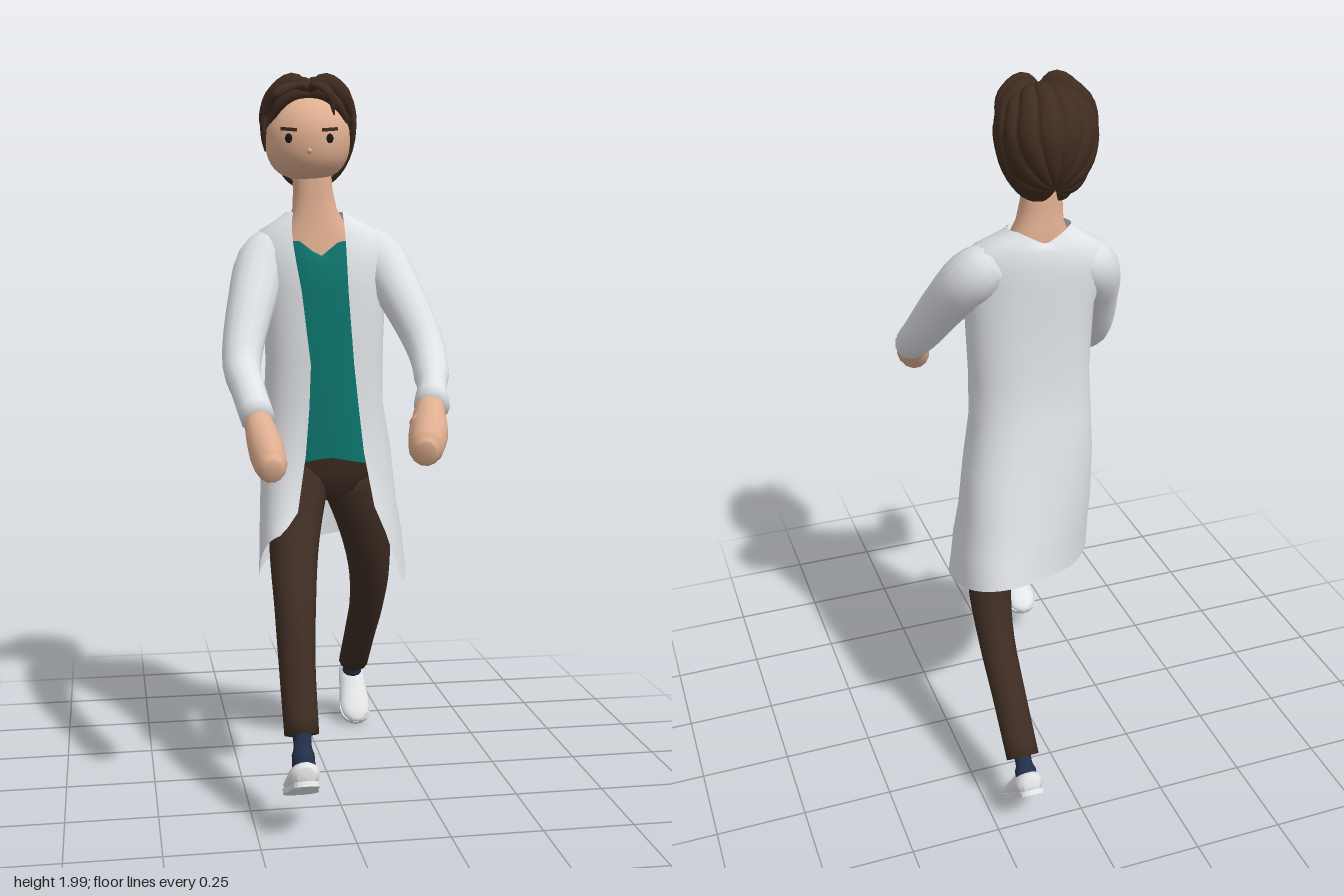
import * as THREE from 'three';

const flat = (name, color) => {
  const m = new THREE.MeshStandardMaterial({ color, side: THREE.DoubleSide });
  m.name = name;
  return m;
};

// Surface from a rule f(u, v, row) -> Vector3; wrap closes it in the first direction
function grid(nu, nv, wrap, f) {
  const pos = [], idx = [], cols = wrap ? nu : nu + 1;
  for (let j = 0; j <= nv; j++)
    for (let i = 0; i < cols; i++) pos.push(...f(i / nu, j / nv, j).toArray());
  for (let j = 0; j < nv; j++)
    for (let i = 0; i < nu; i++) {
      const a = j * cols + i, b = j * cols + ((i + 1) % cols);
      idx.push(a, b, a + cols, b, b + cols, a + cols);
    }
  const g = new THREE.BufferGeometry();
  g.setAttribute('position', new THREE.Float32BufferAttribute(pos, 3));
  g.setIndex(idx);
  g.computeVertexNormals();
  return g;
}

// Tapered limb through [x, y, z, radius, second radius] points, capped at both ends
function limb(pts, ref = new THREE.Vector3(1, 0, 0), sides = 14, steps = 18) {
  const path = new THREE.CatmullRomCurve3(pts.map(p => new THREE.Vector3(p[0], p[1], p[2])));
  const size = new THREE.CatmullRomCurve3(pts.map(p => new THREE.Vector3(p[3], p[4] ?? p[3], 0)));
  return grid(sides, steps + 2, true, (u, v, j) => {
    const s = THREE.MathUtils.clamp((j - 1) / steps, 0, 1);
    const t = path.getTangent(s), r = size.getPoint(s);
    if (j === 0 || j === steps + 2) r.set(0, 0, 0);
    const side = ref.clone().addScaledVector(t, -t.dot(ref)).normalize();
    const up = t.clone().cross(side);
    const a = u * Math.PI * 2;
    return path.getPoint(s).addScaledVector(side, Math.cos(a) * r.x).addScaledVector(up, Math.sin(a) * r.y);
  });
}

// Body rings, bottom to top: [y, centreX, halfWidth, zFront, zBack, openRight, openLeft, skew]
function body(rings, open, bend) {
  const P = 0.85, pw = (v, p) => Math.sign(v) * Math.abs(v) ** p;
  return grid(44, rings.length - 1, !open, (u, v, j) => {
    const [y, cx, a, zf, zb, oR = 0, oL = 0, skew = 0] = rings[j];
    const edge = x => Math.asin(THREE.MathUtils.clamp(pw((x - cx) / a, 1 / P), -1, 1));
    const th = open ? THREE.MathUtils.lerp(edge(oL), Math.PI * 2 + edge(oR), u) : u * Math.PI * 2;
    const x = a * pw(Math.sin(th), P);
    const z = (zf + zb) / 2 + (zf - zb) / 2 * pw(Math.cos(th), P) + skew * x;
    const p = new THREE.Vector3(cx + x, y, z);
    if (bend) bend(p, j);
    return p;
  });
}

export function createModel() {
  const root = new THREE.Group();
  root.name = 'walkingMan';
  const coat = flat('coatWhite', 0xdfe2e6), teal = flat('shirtTeal', 0x0e736c),
    brown = flat('trouserBrown', 0x3d2c22), hairMat = flat('hairBrown', 0x402c20),
    skin = flat('skin', 0xdfae90), navy = flat('sockNavy', 0x22304a),
    white = flat('shoeWhite', 0xe9ebed), dark = flat('eyeDark', 0x1d1613);
  const add = (name, geo, mat, parent = root) => {
    const m = new THREE.Mesh(geo, mat);
    m.name = name;
    parent.add(m);
    return m;
  };

  // Open coat with a swinging, slanted hem, twisted shoulders and a dipped back neckline
  add('coat', body([
    [0.57, 0.025, 0.225, 0.20, -0.262, -0.16, 0.205, -0.45],
    [0.70, 0.02, 0.215, 0.165, -0.252, -0.135, 0.155, -0.38],
    [0.80, 0.015, 0.203, 0.115, -0.24, -0.1, 0.125, -0.26],
    [0.95, 0.01, 0.188, 0.07, -0.217, -0.07, 0.098, -0.1],
    [1.08, 0.0, 0.17, 0.062, -0.187, -0.058, 0.082, 0],
    [1.20, 0, 0.165, 0.06, -0.165, -0.053, 0.068, 0.05],
    [1.40, 0, 0.17, 0.052, -0.158, -0.075, 0.052, 0.13],
    [1.48, -0.008, 0.188, 0.037, -0.156, -0.088, 0.05, 0.14],
    [1.53, -0.008, 0.192, 0.02, -0.153, -0.094, 0.05, 0.13],
    [1.57, -0.012, 0.165, 0.003, -0.145, -0.096, 0.05, 0.1],
    [1.595, -0.016, 0.12, -0.01, -0.135, -0.094, 0.05, 0.05],
    [1.62, -0.02, 0.085, -0.025, -0.125, -0.088, 0.052],
  ], true, (p, j) => {
    if (j === 0) p.y += 0.3 * Math.max(0, -p.z) + 0.9 * Math.max(0, p.z - 0.02) + 0.3 * Math.max(0, -0.1 - p.x);
    if (j === 1) p.y += 0.1 * Math.max(0, -p.z) + 0.45 * Math.max(0, p.z - 0.02);
    if (j > 9 && p.z < -0.08) p.y -= (j - 9) * 0.018 * Math.max(0, 1 - Math.abs(p.x + 0.02) / 0.07);
  }), coat);

  // Shirt with a notched neckline
  add('shirt', body([
    [0.92, 0.01, 0.165, 0.05, -0.19], [1.08, 0, 0.155, 0.05, -0.17], [1.2, 0, 0.145, 0.048, -0.15],
    [1.4, 0, 0.14, 0.037, -0.135, 0, 0, 0.1], [1.48, -0.01, 0.14, 0.025, -0.13, 0, 0, 0.1], [1.54, -0.015, 0.13, 0.005, -0.125, 0, 0, 0.08],
  ], false, (p, j) => {
    if (j === 0 && p.z > 0) p.y += 0.02 * Math.max(0, 1 - Math.abs(p.x) / 0.1);
    if (j === 5 && p.z > -0.04) p.y -= 0.045 * Math.max(0, 1 - Math.abs(p.x + 0.02) / 0.055);
  }), teal);

  // Neck and upper chest
  add('neck', body([
    [1.45, -0.01, 0.12, 0.012, -0.12], [1.53, -0.015, 0.11, -0.002, -0.12], [1.58, -0.02, 0.085, -0.008, -0.123],
    [1.63, -0.025, 0.062, -0.014, -0.113], [1.68, -0.03, 0.055, -0.015, -0.108], [1.75, -0.035, 0.055, -0.015, -0.108],
  ], false), skin);

  // Trousers
  add('hips', body([
    [0.805, 0.015, 0.03, -0.02, -0.09], [0.835, 0.012, 0.11, 0.015, -0.15],
    [0.89, 0.01, 0.15, 0.035, -0.18], [0.95, 0.01, 0.158, 0.043, -0.18],
  ], false), brown);
  add('rightTrouserLeg', limb([[-0.07, 0.88, -0.05, 0.085], [-0.105, 0.71, 0.08, 0.07], [-0.125, 0.56, 0.245, 0.056],
    [-0.13, 0.42, 0.32, 0.049], [-0.13, 0.265, 0.4, 0.046, 0.042]]), brown);
  add('leftTrouserLeg', limb([[0.07, 0.88, -0.07, 0.085], [0.125, 0.72, -0.1, 0.075], [0.152, 0.58, -0.15, 0.062],
    [0.158, 0.45, -0.222, 0.052], [0.158, 0.33, -0.325, 0.048], [0.158, 0.195, -0.445, 0.047, 0.042]]), brown);

  // Socks
  add('rightSock', limb([[-0.13, 0.3, 0.385, 0.03], [-0.13, 0.22, 0.425, 0.03], [-0.13, 0.155, 0.448, 0.033]]), navy);
  add('leftSock', limb([[0.158, 0.22, -0.42, 0.03], [0.158, 0.165, -0.465, 0.03], [0.158, 0.12, -0.492, 0.033]]), navy);

  // Shoes, built flat with the ankle at the origin and the toe towards +z
  const shoe = (name, x, y, z, pitch, yaw, length) => {
    const g = new THREE.Group();
    g.name = name;
    add('shoeUpper', limb([[-0.052, 0.025], [-0.035, 0.033], [0, 0.034], [0.045, 0.028], [0.09, 0.023], [0.125, 0.019], [0.148, 0.012]]
      .map(([pz, py], i) => [0, py, pz * length, [0.022, 0.038, 0.042, 0.044, 0.047, 0.04, 0.018][i], py])), white, g);
    const s = new THREE.Shape();
    s.moveTo(-0.035, 0.03);
    s.bezierCurveTo(-0.035, 0.065, 0.035, 0.065, 0.035, 0.03);
    s.bezierCurveTo(0.035, -0.03, 0.048, -0.06, 0.048, -0.1 * length);
    s.bezierCurveTo(0.048, -0.168 * length, -0.048, -0.168 * length, -0.048, -0.1 * length);
    s.bezierCurveTo(-0.048, -0.06, -0.035, -0.03, -0.035, 0.03);
    const sole = new THREE.ExtrudeGeometry(s, { depth: 0.014, bevelEnabled: false, curveSegments: 8 });
    sole.rotateX(-Math.PI / 2);
    add('shoeSole', sole, white, g);
    g.position.set(x, y, z);
    g.rotation.set(pitch, yaw, 0, 'YXZ');
    root.add(g);
  };
  shoe('rightShoe', -0.13, 0.138, 0.457, 0.5, Math.PI, 0.85);
  shoe('leftShoe', 0.158, 0.1, -0.498, 0.72, 0, 1);

  // Sleeves
  add('leftSleeve', limb([[0.09, 1.53, -0.07, 0.06], [0.15, 1.495, -0.055, 0.074], [0.203, 1.39, 0.035, 0.064],
    [0.25, 1.25, 0.15, 0.052], [0.238, 1.18, 0.27, 0.047], [0.215, 1.12, 0.375, 0.047]]), coat);
  add('rightSleeve', limb([[-0.1, 1.53, -0.09, 0.06], [-0.162, 1.49, -0.08, 0.075], [-0.212, 1.37, 0.005, 0.066],
    [-0.252, 1.21, 0.12, 0.052], [-0.243, 1.15, 0.21, 0.046], [-0.228, 1.085, 0.3, 0.045]]), coat);

  // Half-closed hands with tucked thumbs
  add('leftHand', limb([[0.215, 1.125, 0.35, 0.035], [0.203, 1.1, 0.4, 0.042], [0.188, 1.06, 0.455, 0.05, 0.054],
    [0.172, 1.03, 0.5, 0.045, 0.05], [0.165, 1.02, 0.528, 0.025, 0.03]]), skin);
  add('leftThumb', limb([[0.19, 1.1, 0.42, 0.018], [0.16, 1.075, 0.45, 0.018], [0.145, 1.05, 0.485, 0.012]]), skin);
  add('rightHand', limb([[-0.228, 1.09, 0.28, 0.033], [-0.224, 1.06, 0.32, 0.04], [-0.216, 1.015, 0.385, 0.046, 0.053],
    [-0.21, 0.985, 0.43, 0.042, 0.048], [-0.208, 0.975, 0.465, 0.025, 0.028]]), skin);
  add('rightThumb', limb([[-0.208, 1.05, 0.34, 0.016], [-0.19, 1.025, 0.375, 0.016], [-0.182, 1.0, 0.41, 0.011]]), skin);

  // Head, turned slightly, with a full jaw
  const head = new THREE.Group();
  head.name = 'head';
  head.position.set(-0.045, 1.82, -0.055);
  head.rotation.y = -0.1;
  root.add(head);
  const skull = new THREE.SphereGeometry(1, 32, 24), sp = skull.attributes.position;
  for (let i = 0; i < sp.count; i++) {
    const y = sp.getY(i), k = y < 0 ? 1 + 0.22 * y * y : 1;
    sp.setXYZ(i, sp.getX(i) * 0.119 * k, y * 0.115, sp.getZ(i) * 0.112 * k);
  }
  skull.computeVertexNormals();
  add('face', skull, skin, head);
  const nose = add('nose', new THREE.SphereGeometry(0.008, 10, 8), skin, head);
  nose.position.set(0, -0.038, 0.106);
  for (const s of [-1, 1]) {
    const eye = add('eye', new THREE.SphereGeometry(1, 14, 10), dark, head);
    eye.scale.set(0.011, 0.013, 0.004);
    eye.position.set(s * 0.056, -0.004, 0.1);
    eye.rotation.y = s * 0.5;
    const brow = add('eyebrow', new THREE.BoxGeometry(0.046, 0.009, 0.008), hairMat, head);
    brow.position.set(s * 0.056, 0.02, 0.099);
    brow.rotation.set(0, s * 0.5, s * 0.1);
  }

  // Swept-back hair: grooved cap running from the parting down to the nape
  const tilt = 0.75, A = new THREE.Vector3(0, Math.sin(tilt), Math.cos(tilt)), U = new THREE.Vector3(0, Math.cos(tilt), -Math.sin(tilt));
  add('hairCap', grid(120, 28, false, (u, v) => {
    const lat = v * Math.PI, reach = 2 + 0.8 * THREE.MathUtils.smoothstep(v, 0.4, 0.7);
    const lon = (u * 2 - 1) * reach;
    const r = 0.95 + 0.1 * Math.sqrt(Math.abs(Math.sin(u * 10 * Math.PI + 0.5 * Math.sin(lat)))) * Math.sin(lat);
    const d = A.clone().multiplyScalar(Math.cos(lat)).addScaledVector(U, Math.sin(lat) * Math.cos(lon));
    d.x = Math.sin(lat) * Math.sin(lon);
    const drop = d.y < 0 ? 0.175 : 0.13;
    return new THREE.Vector3(0.008 + d.x * 0.125 * r, 0.04 + d.y * drop * r, -0.032 + d.z * 0.133 * r);
  }), hairMat, head);

  // Crown, fringe and temple locks on both sides of the parting, and loose strands in front
  const Z = new THREE.Vector3(0, 0, 1);
  for (const s of [-1, 1]) {
    add('crownLock', limb([[0, 0.13, 0.07, 0.012], [s * 0.05, 0.148, 0.035, 0.03, 0.022], [s * 0.1, 0.115, 0.008, 0.035, 0.02],
      [s * 0.122, 0.06, 0, 0.025, 0.014], [s * 0.125, 0.02, -0.005, 0.004]], Z, 10, 12), hairMat, head);
    add('fringeLock', limb([[0, 0.125, 0.07, 0.012], [s * 0.045, 0.145, 0.072, 0.022, 0.028], [s * 0.09, 0.115, 0.06, 0.022, 0.026],
      [s * 0.12, 0.06, 0.045, 0.004]], Z, 10, 12), hairMat, head);
    add('innerLock', limb([[0, 0.115, 0.078, 0.01], [s * 0.04, 0.115, 0.09, 0.014, 0.018], [s * 0.08, 0.085, 0.082, 0.012, 0.014],
      [s * 0.105, 0.04, 0.065, 0.003]], Z, 10, 12), hairMat, head);
    add('templeLock', limb([[s * 0.1, 0.1, 0.02, 0.02, 0.012], [s * 0.122, 0.05, 0.025, 0.02, 0.01], [s * 0.122, 0.0, 0.015, 0.014, 0.008],
      [s * 0.118, -0.035, 0.01, 0.002]], Z, 10, 12), hairMat, head);
  }
  for (const [x, y, z] of [[-0.11, 0.08, 0.125], [0.065, 0.055, 0.14]])
    add('looseStrand', limb([[0, 0.125, 0.07, 0.014], [x * 0.35, 0.135, 0.115, 0.016, 0.01], [x * 0.8, 0.11, 0.148, 0.013, 0.009],
      [x, y, z, 0.002]], undefined, 8, 12), hairMat, head);
  return root;
}
